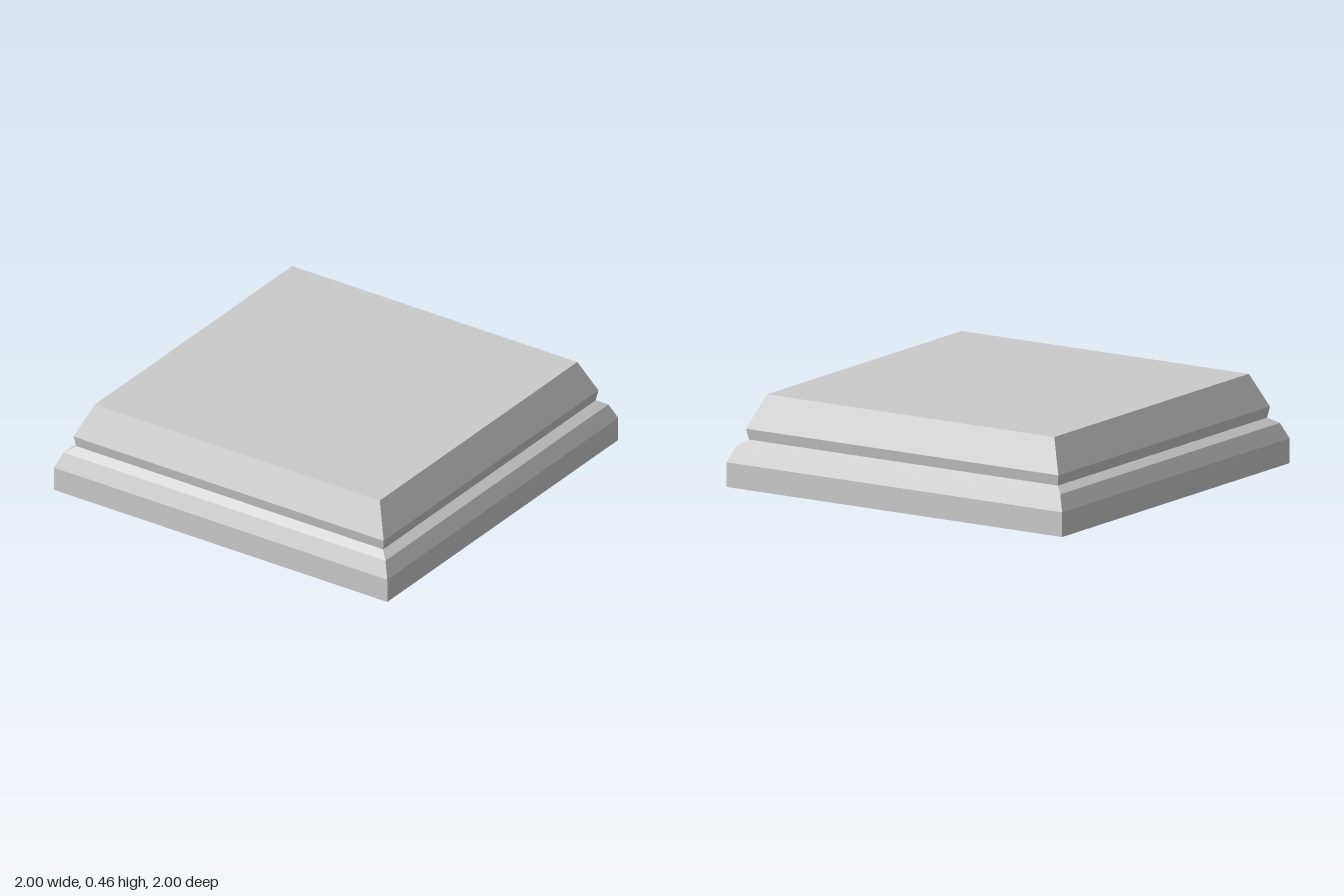
import * as THREE from 'three';

const TOP = 0.46, TOP_HALF = 0.855;

// Square ring of mitred walls swept from a [half width, height] profile
function squareMoulding(name, profile, material) {
  const points = profile.map(([half, y]) => new THREE.Vector2(half * Math.SQRT2, y));
  const mesh = new THREE.Mesh(new THREE.LatheGeometry(points, 4, Math.PI / 4), material);
  mesh.name = name;
  return mesh;
}

export function createModel() {
  const group = new THREE.Group();
  group.name = 'squarePlinth';
  const material = new THREE.MeshStandardMaterial({
    color: 0xcccccc, flatShading: true, side: THREE.DoubleSide,
  });

  // Stepped walls, hollow and open underneath
  group.add(
    squareMoulding('base', [[1, 0], [1, 0.125], [0.965, 0.205], [0.92, 0.235]], material),
    squareMoulding('neck', [[0.92, 0.235], [0.93, 0.29]], material),
    squareMoulding('slopedCap', [[0.93, 0.29], [TOP_HALF, TOP]], material),
  );

  // Flat top panel
  const top = new THREE.Mesh(new THREE.PlaneGeometry(TOP_HALF * 2, TOP_HALF * 2), material);
  top.rotation.x = -Math.PI / 2;
  top.position.y = TOP;
  top.name = 'topPanel';
  group.add(top);

  return group;
}
